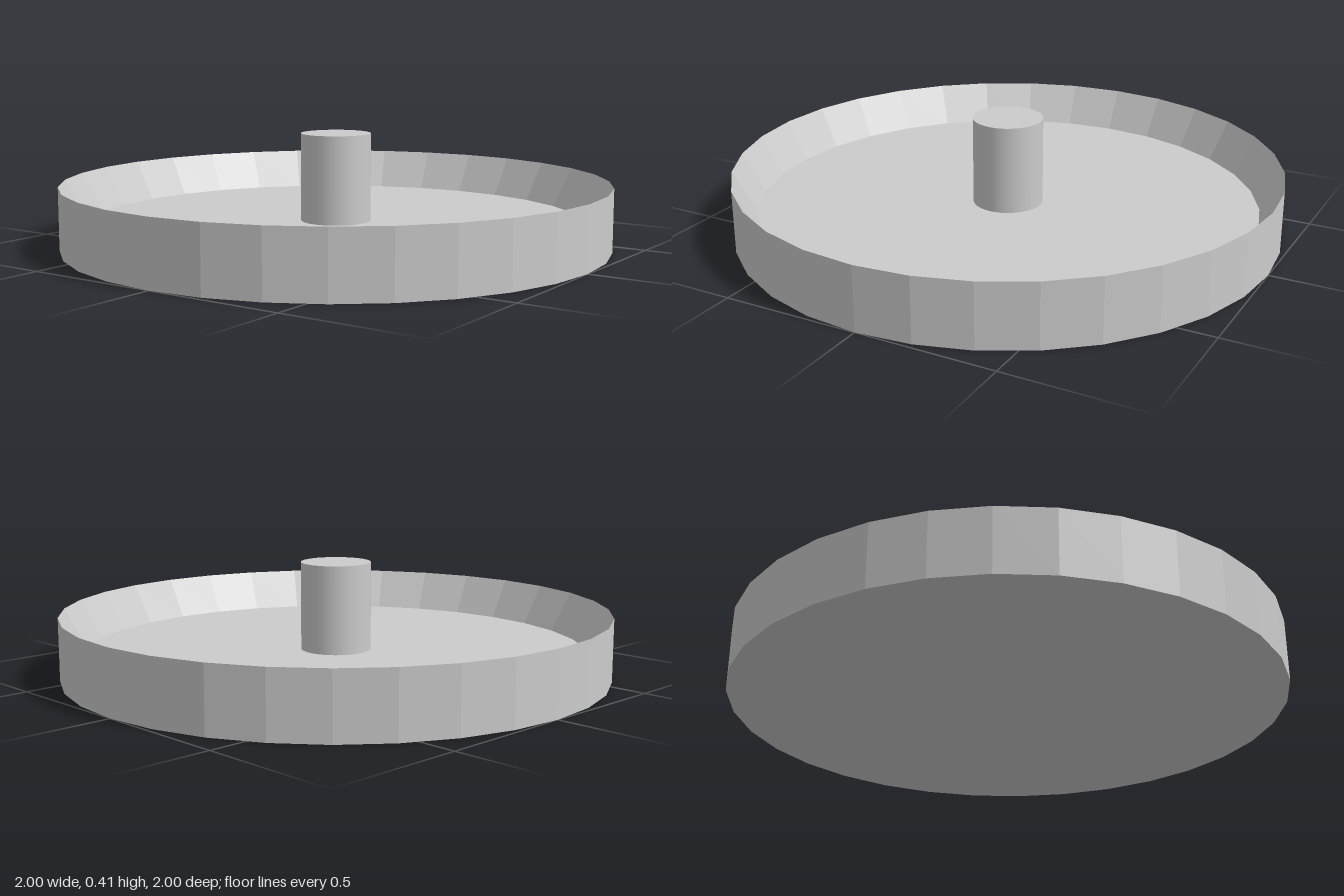
import * as THREE from 'three';

const RIM_HEIGHT = 0.23;
const FLOOR_HEIGHT = 0.083;
const FLOOR_RADIUS = 0.92;
const POST_RADIUS = 0.128;
const POST_TOP = 0.405;

export function createModel() {
  const model = new THREE.Group();
  model.name = 'trayWithPost';

  // Shallow faceted dish: flat base, upright outer wall, sloping inner wall
  const profile = [
    [0, 0],
    [1, 0],
    [1, RIM_HEIGHT],
    [FLOOR_RADIUS, FLOOR_HEIGHT],
    [0, FLOOR_HEIGHT],
  ].map(([r, y]) => new THREE.Vector2(r, y));
  const dish = new THREE.Mesh(
    new THREE.LatheGeometry(profile, 32),
    new THREE.MeshStandardMaterial({ color: 0xcccccc, flatShading: true })
  );
  dish.name = 'dish';
  model.add(dish);

  // Round post standing on the dish floor
  const postHeight = POST_TOP - FLOOR_HEIGHT;
  const post = new THREE.Mesh(
    new THREE.CylinderGeometry(POST_RADIUS, POST_RADIUS, postHeight, 32),
    new THREE.MeshStandardMaterial({ color: 0xcccccc })
  );
  post.name = 'centrePost';
  post.position.y = FLOOR_HEIGHT + postHeight / 2;
  model.add(post);

  return model;
}
